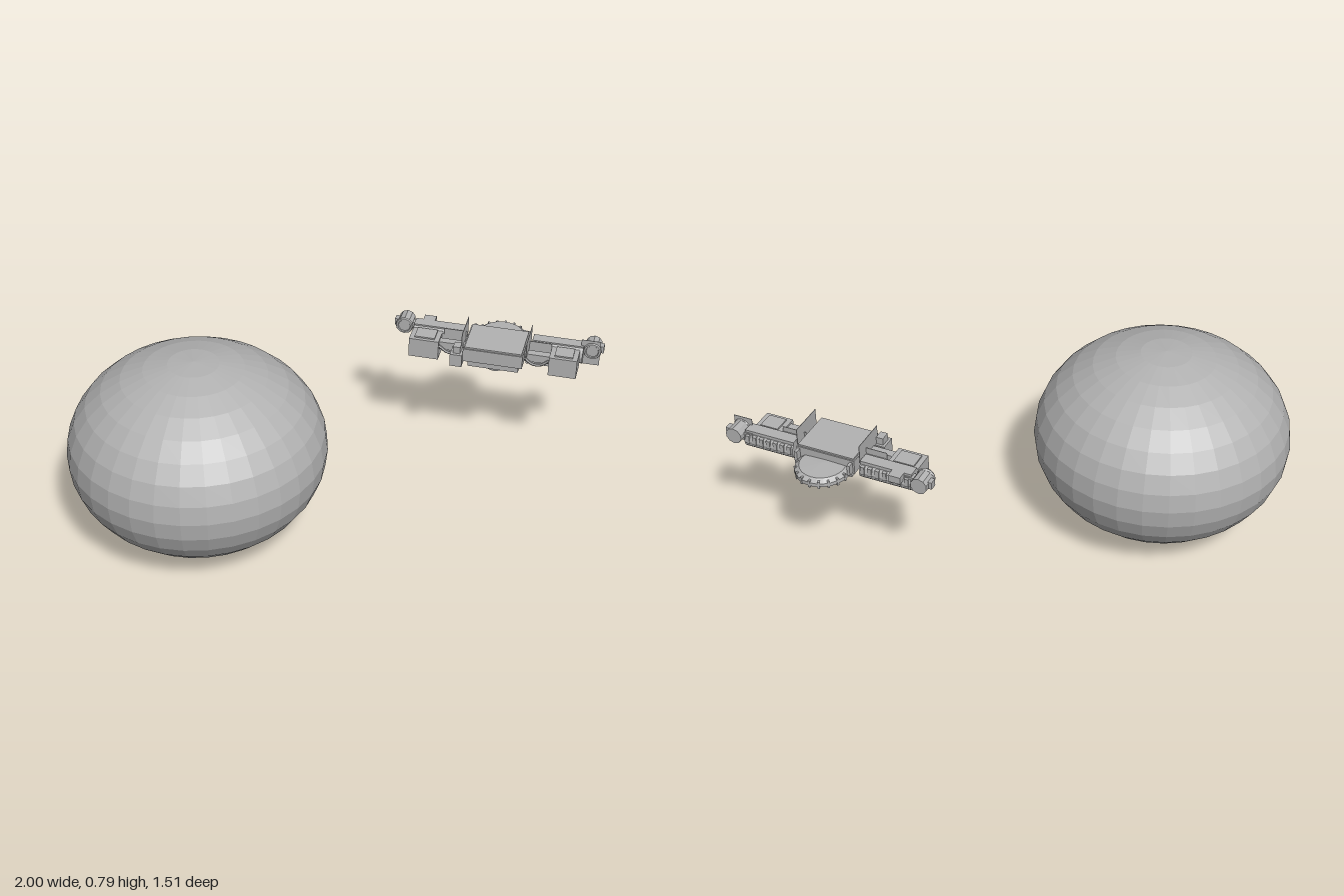
import * as THREE from 'three';

export function createModel() {
  const model = new THREE.Group();
  const grey = new THREE.MeshStandardMaterial({ color: 0xb2b2b2, flatShading: true, side: THREE.DoubleSide });
  grey.name = 'plain grey';

  const add = (name, geo, x = 0, y = 0, z = 0) => {
    const mesh = new THREE.Mesh(geo, grey);
    mesh.name = name;
    mesh.position.set(x, y, z);
    model.add(mesh);
    return mesh;
  };
  // box given by its extents
  const box = (name, x0, x1, y0, y1, z0, z1) =>
    add(name, new THREE.BoxGeometry(x1 - x0, y1 - y0, z1 - z0), (x0 + x1) / 2, (y0 + y1) / 2, (z0 + z1) / 2);

  // squashed planet
  const planet = add('planet', new THREE.SphereGeometry(0.515, 32, 16), -0.485, 0.397, 0.238);
  planet.scale.y = 0.393 / 0.515;

  // central hull with chamfered lower slab and raised rim
  box('hull', 0.44, 0.687, 0.525, 0.583, -0.63, -0.435);
  box('hullTop', 0.445, 0.682, 0.583, 0.59, -0.625, -0.44);
  box('hullBelly', 0.46, 0.67, 0.495, 0.525, -0.62, -0.45);
  for (const x of [0.447, 0.672]) box('hullCorner', x, x + 0.012, 0.53, 0.575, -0.655, -0.63);

  // rounded dish at the back
  const dishProfile = [[0, -0.028], [0.055, -0.028], [0.085, -0.02], [0.108, -0.003], [0.108, 0.012], [0.09, 0.026], [0, 0.03]];
  add('rearDish', new THREE.LatheGeometry(dishProfile.map(p => new THREE.Vector2(...p)), 24), 0.565, 0.525, -0.65);
  for (let i = 0; i < 9; i++) {
    const a = Math.PI * (i + 0.5) / 9;
    const rib = add('dishRib', new THREE.BoxGeometry(0.008, 0.03, 0.014),
      0.565 + Math.cos(a) * 0.102, 0.53, -0.65 - Math.sin(a) * 0.102);
    rib.rotation.y = a - Math.PI / 2;
  }

  // stepped turret underneath
  const turretProfile = [[0, -0.062], [0.04, -0.062], [0.043, -0.045], [0.056, -0.04], [0.056, -0.025], [0.07, -0.02], [0.07, 0], [0, 0]];
  add('turret', new THREE.LatheGeometry(turretProfile.map(p => new THREE.Vector2(...p)), 16), 0.565, 0.527, -0.525);

  // wings: pod along x, beams to the hull, equipment block
  const wings = [
    { inner: 0.42, outer: 0.205, b0: 0.205, b1: 0.33 },
    { inner: 0.705, outer: 0.917, b0: 0.79, b1: 0.905 },
  ];
  for (const w of wings) {
    const mid = (w.inner + w.outer) / 2, len = Math.abs(w.inner - w.outer);
    const lo = Math.min(w.inner, w.outer), hi = Math.max(w.inner, w.outer);
    const pod = add('wingPod', new THREE.CylinderGeometry(0.042, 0.042, len, 12), mid, 0.542, -0.592);
    pod.rotation.z = Math.PI / 2;
    box('podSpine', lo, hi, 0.57, 0.585, -0.62, -0.572);
    for (let i = 0; i < 7; i++) {
      const x = lo + len * (i + 0.5) / 7;
      box('podStud', x - 0.008, x + 0.008, 0.535, 0.57, -0.636, -0.62);
    }
    box('equipmentBlock', w.b0, w.b1, 0.488, 0.572, -0.57, -0.475);
    box('blockCap', w.b0 + 0.02, w.b1 - 0.02, 0.57, 0.578, -0.56, -0.49);
    const bx0 = Math.min(w.b0, 0.44) < 0.4 ? w.b1 : 0.687;
    const bx1 = bx0 === w.b1 ? 0.44 : w.b0;
    box('rearBeam', bx0, bx1, 0.53, 0.57, -0.575, -0.55);
    box('frontBeam', bx0, bx1, 0.53, 0.565, -0.525, -0.492);
    // sagging cable in front of the beams
    const cable = new THREE.CatmullRomCurve3([0, 1, 2, 3].map(i =>
      new THREE.Vector3(bx0 + (bx1 - bx0) * i / 3, 0.55 - (i % 3 ? 0.025 : 0), -0.485)));
    add('cable', new THREE.TubeGeometry(cable, 10, 0.006, 6));
  }

  // upright thin fins beside the hull and thin plates facing forward
  for (const x of [0.43, 0.697]) box('sideFin', x - 0.001, x + 0.001, 0.56, 0.637, -0.604, -0.457);
  box('leftPlate', 0.687, 0.79, 0.482, 0.592, -0.552, -0.55);
  box('rightPlate', 0.34, 0.436, 0.482, 0.597, -0.552, -0.55);
  box('endPlate', 0.906, 0.985, 0.5, 0.613, -0.584, -0.582);

  // sensor box at the front corner
  box('sensorBox', 0.39, 0.44, 0.505, 0.56, -0.48, -0.417);
  box('sensorEye', 0.4, 0.43, 0.515, 0.59, -0.47, -0.43);
  box('podAntenna', 0.235, 0.285, 0.555, 0.585, -0.655, -0.62);

  // thrusters at both tips
  for (const x of [0.162, 0.953]) {
    const drum = add('thruster', new THREE.CylinderGeometry(0.034, 0.034, 0.07, 10), x, 0.565, -0.615);
    drum.rotation.x = Math.PI / 2;
    add('thrusterRing', new THREE.TorusGeometry(0.031, 0.007, 6, 12), x, 0.565, -0.582);
    const side = x < 0.5 ? 1 : -1;
    box('thrusterMount', x + side * 0.04 - 0.03, x + side * 0.04 + 0.03, 0.545, 0.575, -0.625, -0.595);
    box('thrusterLug', x - side * 0.037 - 0.008, x - side * 0.037 + 0.008, 0.55, 0.58, -0.63, -0.6);
  }
  return model;
}
